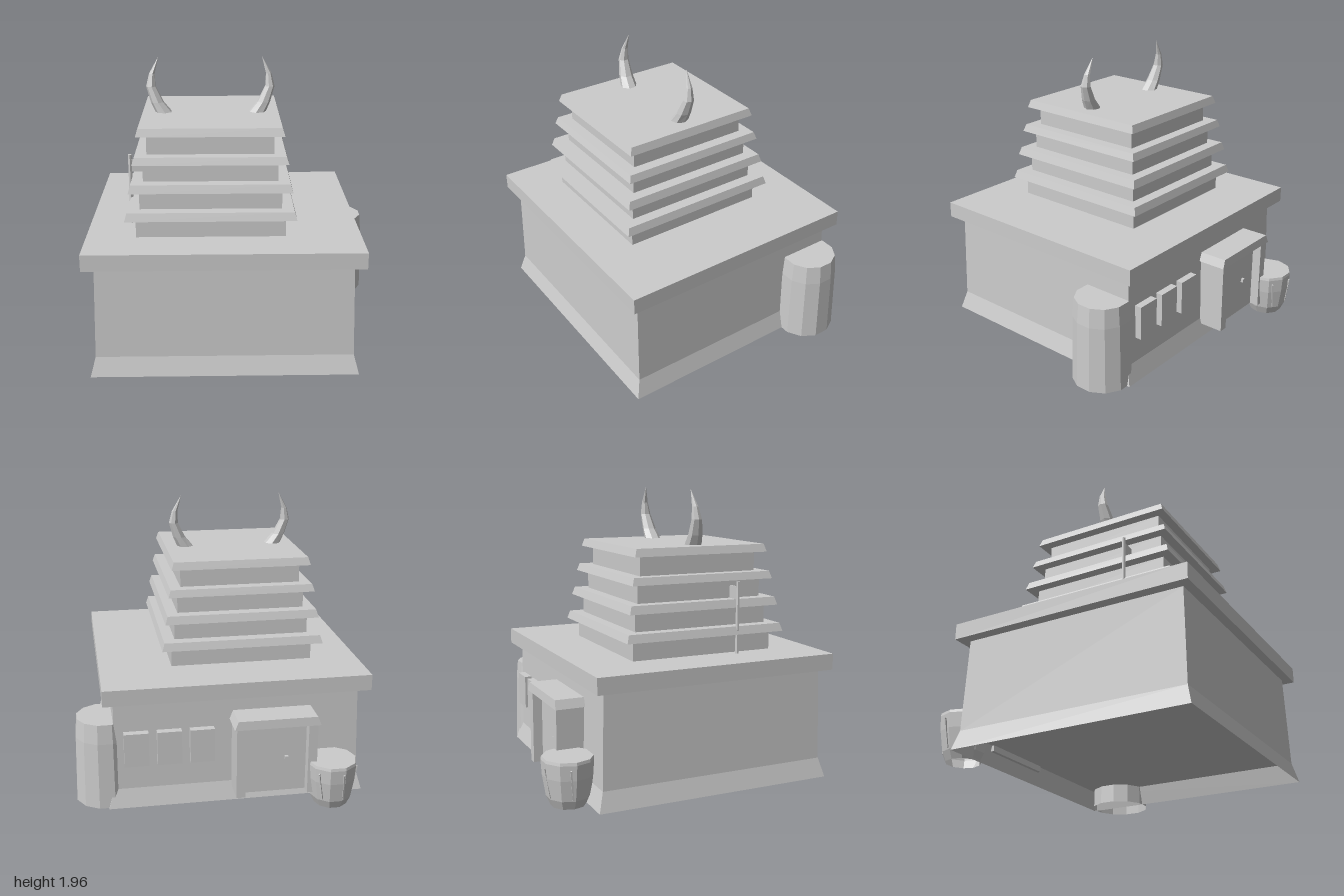
import * as THREE from 'three';

const stone = new THREE.MeshStandardMaterial({ color: 0xcccccc, flatShading: true, side: THREE.DoubleSide });
stone.name = 'pale stone';

export function createModel() {
  const model = new THREE.Group();
  model.name = 'house';

  function add(name, geometry, x = 0, y = 0, z = 0) {
    const mesh = new THREE.Mesh(geometry, stone);
    mesh.name = name;
    mesh.position.set(x, y, z);
    model.add(mesh);
    return mesh;
  }

  // Block between two corners; the top is drawn in by the insets on each side
  function block(name, x0, x1, y0, y1, z0, z1, insetX = 0, insetZ = insetX) {
    const g = new THREE.BoxGeometry(x1 - x0, y1 - y0, z1 - z0);
    const p = g.attributes.position;
    for (let i = 0; i < p.count; i++) {
      if (p.getY(i) > 0) {
        p.setX(i, p.getX(i) - Math.sign(p.getX(i)) * insetX);
        p.setZ(i, p.getZ(i) - Math.sign(p.getZ(i)) * insetZ);
      }
    }
    return add(name, g, (x0 + x1) / 2, (y0 + y1) / 2, (z0 + z1) / 2);
  }

  // Turned vessel, open underneath, from [radius, height] pairs
  function vessel(name, profile, sides, x, z) {
    const pts = profile.map(([r, y]) => new THREE.Vector2(r, y));
    return add(name, new THREE.LatheGeometry(pts, sides, Math.PI / sides), x, 0, z);
  }

  // Flared foot: a skirt without top or bottom faces, so the floor sits above it
  const foot = block('foot', -0.975, 0.79, 0, 0.13, -0.7, 0.97, 0.035).geometry;
  const faces = Array.from(foot.index.array);
  foot.setIndex([...faces.slice(0, 12), ...faces.slice(24)]);
  foot.clearGroups();

  // Ground floor and overhanging slab
  block('groundFloor', -0.94, 0.755, 0.13, 0.76, -0.665, 0.935, 0.015);
  block('roofSlab', -1, 0.812, 0.76, 0.87, -0.72, 0.985);

  // Four shrinking storeys, each capped by a bevelled eave
  const cx = -0.179, cz = 0.171;
  const levels = [0.87, 1.055, 1.235, 1.41];
  const eaves = [1.0, 1.18, 1.36, 1.54];
  const tops = [1.055, 1.235, 1.41, 1.593];
  for (let i = 0; i < 4; i++) {
    const w = 0.492 - i * 0.026, d = 0.512 - i * 0.028;
    block('storey' + (i + 1), cx - w, cx + w, levels[i], eaves[i], cz - d, cz + d);
    const ew = 0.56 - i * 0.027, ed = 0.579 - i * 0.03;
    block('eave' + (i + 1), cx - ew, cx + ew, eaves[i], tops[i], cz - ed, cz + ed, 0.016);
  }

  // Curved horns: rings of [offset from centre, y, z, radius x, radius z]
  const rings = [
    [0.315, 1.585, 0.178, 0.06, 0.06],
    [0.363, 1.66, 0.171, 0.045, 0.05],
    [0.404, 1.765, 0.16, 0.033, 0.037],
    [0.396, 1.85, 0.151, 0.02, 0.022],
    [0.352, 1.96, 0.14, 0.001, 0.001],
  ];
  const sides = 7;
  for (const side of [-1, 1]) {
    const pos = [], idx = [];
    rings.forEach(([o, y, z, rx, rz], r) => {
      for (let s = 0; s < sides; s++) {
        const a = (s / sides) * Math.PI * 2;
        pos.push(cx + side * (o + Math.cos(a) * rx), y, z + Math.sin(a) * rz);
        if (r === 0) continue;
        const n = (s + 1) % sides, lo = (r - 1) * sides, hi = r * sides;
        if (side > 0) idx.push(lo + s, hi + s, lo + n, lo + n, hi + s, hi + n);
        else idx.push(lo + s, lo + n, hi + s, lo + n, hi + n, hi + s);
      }
    });
    const g = new THREE.BufferGeometry();
    g.setAttribute('position', new THREE.Float32BufferAttribute(pos, 3));
    g.setIndex(idx);
    g.computeVertexNormals();
    add(side > 0 ? 'leftHorn' : 'rightHorn', g);
  }

  // Pole with a plate tying it to the tower wall
  add('pole', new THREE.CylinderGeometry(0.014, 0.014, 0.485, 6), -0.72, 1.112, 0.403);
  block('poleBracket', -0.72, -0.61, 1.235, 1.322, 0.398, 0.408);

  // Water tank against the left wall
  vessel('tank', [[0.207, 0], [0.197, 0.47], [0.185, 0.605], [0, 0.605]], 12, 0.8, -0.481);

  // Pot by the back door, with thin slanted staves on its sides
  const potX = -0.715, potZ = -0.811;
  vessel('pot', [[0.115, 0], [0.142, 0.06], [0.165, 0.2], [0.172, 0.3], [0.168, 0.32], [0, 0.32]], 10, potX, potZ);
  for (const angle of [-100, -164, 138]) {
    const a = THREE.MathUtils.degToRad(angle);
    const stave = add('potStave', new THREE.BoxGeometry(0.01, 0.2, 0.014),
      potX + Math.sin(a) * 0.155, 0.17, potZ + Math.cos(a) * 0.155);
    stave.rotation.set(0.14, a, 0.08, 'YXZ');
  }

  // Back porch: two posts, bevelled lintel, recessed door and knob
  block('porchPost', -0.602, -0.54, 0.09, 0.59, -0.845, -0.65);
  block('porchPost', -0.115, -0.053, 0.09, 0.59, -0.845, -0.65);
  block('porchLintel', -0.62, -0.037, 0.59, 0.65, -0.855, -0.63, 0.024, 0.006);
  block('door', -0.54, -0.115, 0.09, 0.59, -0.78, -0.65);
  block('doorKnob', -0.417, -0.393, 0.325, 0.35, -0.8, -0.78);

  // Three shuttered windows on the back wall
  for (let i = 0; i < 3; i++) {
    const x = 0.07 + i * 0.222;
    block('window', x, x + 0.165, 0.308, 0.545, -0.705, -0.64);
  }

  return model;
}
